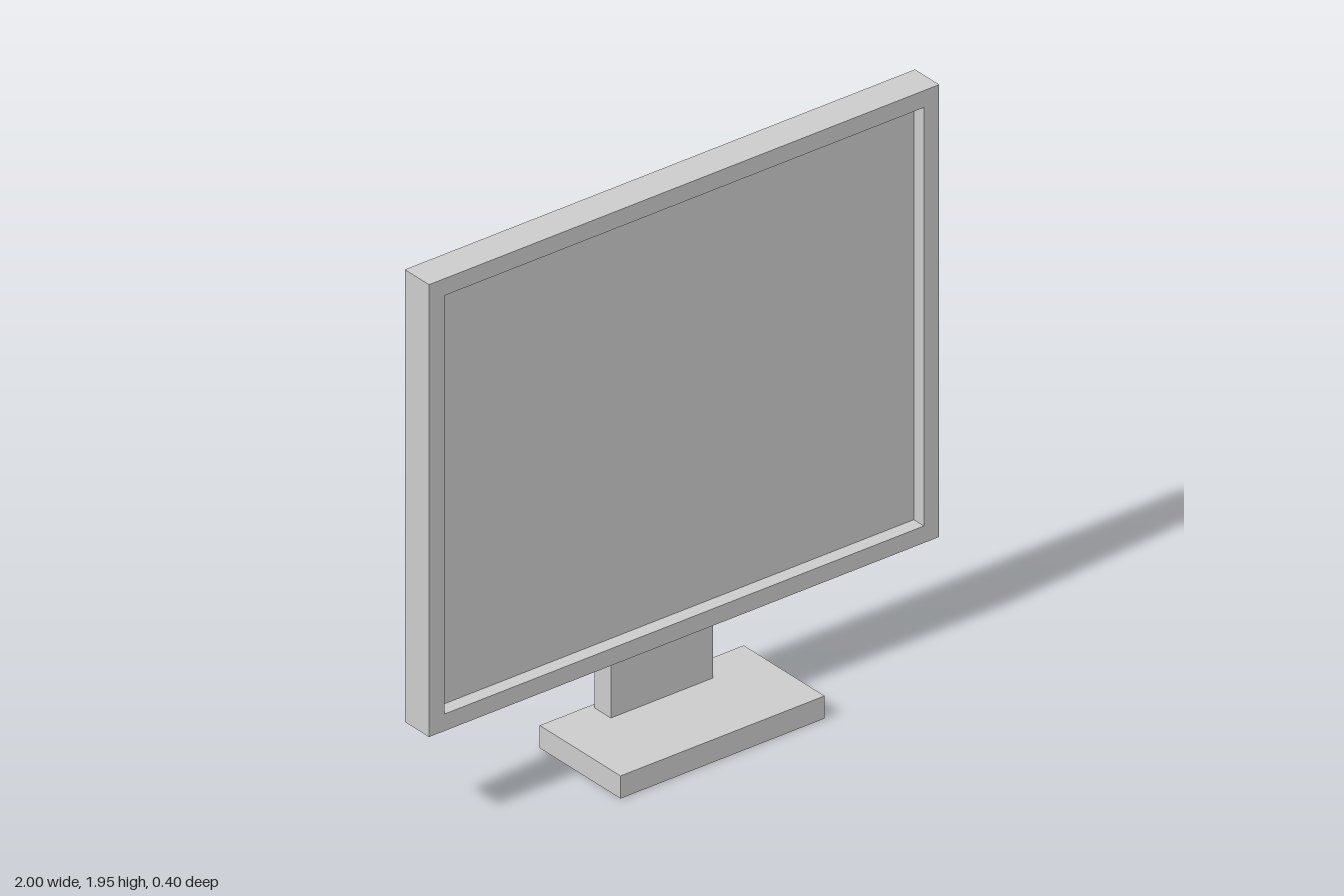
import * as THREE from 'three';

const material = new THREE.MeshStandardMaterial({ color: 0xcccccc, flatShading: true });

// Axis-aligned box given by its [min, max] range on each axis
function block(name, [x0, x1], [y0, y1], [z0, z1]) {
  const mesh = new THREE.Mesh(new THREE.BoxGeometry(x1 - x0, y1 - y0, z1 - z0), material);
  mesh.name = name;
  mesh.position.set((x0 + x1) / 2, (y0 + y1) / 2, (z0 + z1) / 2);
  return mesh;
}

// Counter-clockwise rectangle path
function rectangle(target, x, y0, y1) {
  target.moveTo(-x, y0).lineTo(x, y0).lineTo(x, y1).lineTo(-x, y1).closePath();
  return target;
}

export function createModel() {
  const model = new THREE.Group();
  model.name = 'monitor';

  const bottom = 0.345, top = 1.945, border = 0.06;
  const front = 0.01, back = -0.11, recess = 0.05;

  // Foot and upright
  model.add(block('base', [-0.4, 0.4], [0, 0.08], [-0.2, 0.2]));
  model.add(block('standNeck', [-0.2, 0.2], [0.08, 0.84], [-0.18, -0.1]));

  // Housing: a single shell whose front is open for the recessed screen
  const outline = rectangle(new THREE.Shape(), 1, bottom, top);
  outline.holes.push(rectangle(new THREE.Path(), 1 - border, bottom + border, top - border));
  const frame = new THREE.Mesh(
    new THREE.ExtrudeGeometry(outline, { depth: front - back, bevelEnabled: false }), material);
  frame.name = 'screenFrame';
  frame.position.z = back;
  model.add(frame);

  // Screen fills the frame opening from the back up to the recess
  model.add(block('screen', [-1 + border, 1 - border], [bottom + border, top - border], [back, front - recess]));

  return model;
}
